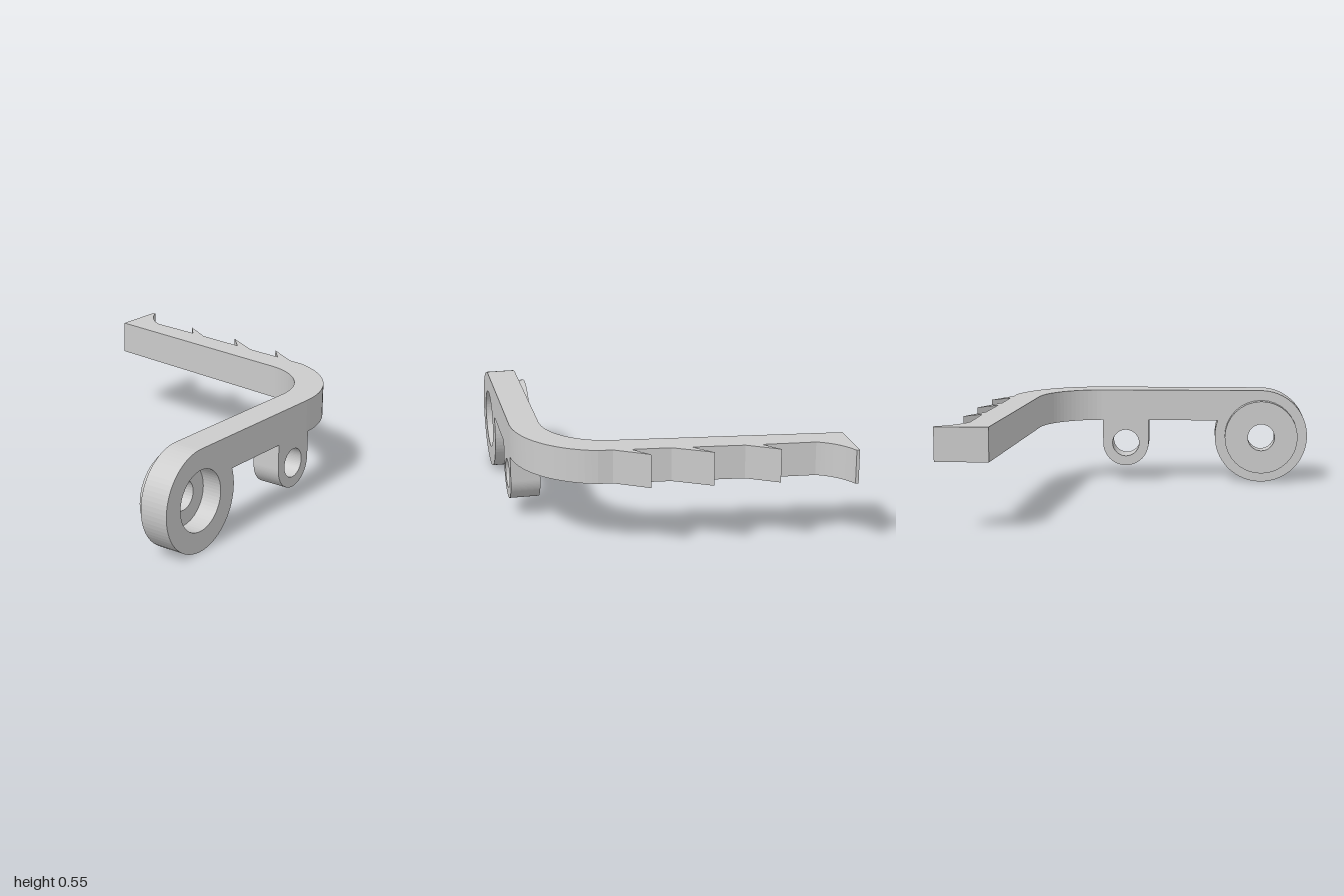
import * as THREE from 'three';

const material = new THREE.MeshStandardMaterial({ color: 0xcccccc, flatShading: true, side: THREE.DoubleSide });
const TOP = 0.557, UNDER = 0.375;      // height range of the arm
const FRONT = 0.845, BACK = 0.685;     // depth range of the straight part
const PIVOT = { x: -0.724, y: 0.28, r: 0.277 };
const LUG = { x: 0.09, y: 0.235, r: 0.137 };
const BEND = { x: 0.21, z: 0.315, inner: 0.37, outer: 0.53 };

function add(group, name, geometry) {
  const mesh = new THREE.Mesh(geometry, material);
  mesh.name = name;
  group.add(mesh);
  return mesh;
}

function hole(x, y, r) {
  return new THREE.Path().absarc(x, y, r, 0, Math.PI * 2, true);
}

// Straight front plate: pivot eye, arm and hanging lug in one outline
function frontPlate() {
  const s = new THREE.Shape();
  s.moveTo(BEND.x, TOP);
  s.lineTo(PIVOT.x, TOP);
  const end = Math.PI * 2 + Math.asin((UNDER - PIVOT.y) / PIVOT.r);
  s.absarc(PIVOT.x, PIVOT.y, PIVOT.r, Math.PI / 2, end, false);
  s.lineTo(LUG.x - LUG.r, UNDER);
  s.absarc(LUG.x, LUG.y, LUG.r, Math.PI, Math.PI * 2, false);
  s.lineTo(LUG.x + LUG.r, UNDER);
  s.lineTo(BEND.x, UNDER);
  s.closePath();
  s.holes.push(hole(PIVOT.x, PIVOT.y, 0.165), hole(LUG.x, LUG.y, 0.08));
  const g = new THREE.ExtrudeGeometry(s, { depth: FRONT - BACK, bevelEnabled: false, curveSegments: 28 });
  return g.translate(0, 0, BACK);
}

// Bend and barbed rear arm, drawn in plan with shape y = -z
function rearArm() {
  const s = new THREE.Shape();
  const tilt = 0.111;
  s.moveTo(BEND.x, -FRONT);
  s.absarc(BEND.x, -BEND.z, BEND.outer, -Math.PI / 2, -0.27, false);
  // three barbs: root, tip, notch
  const barbs = [
    [0.728, 0.38], [0.836, 0.203], [0.74, 0.285],
    [0.76, 0.08], [0.874, -0.12], [0.772, -0.025],
    [0.803, -0.3], [0.902, -0.465], [0.811, -0.387],
    [0.835, -0.67],
  ];
  for (const [x, z] of barbs) s.lineTo(x, -z);
  // flared end hook
  s.quadraticCurveTo(0.882, 0.78, 1, 0.833);
  s.lineTo(1, 0.85);
  s.lineTo(0.717, 0.85);
  s.absarc(BEND.x, -BEND.z, BEND.inner, -tilt, -Math.PI / 2, true);
  s.closePath();
  const g = new THREE.ExtrudeGeometry(s, { depth: TOP - UNDER, bevelEnabled: false, curveSegments: 10 });
  return g.rotateX(-Math.PI / 2).translate(0, UNDER, 0);
}

// Rear boss with through hole; its inner step is the counterbore floor
function pivotBoss() {
  const floor = 0.735, rear = 0.63;
  const profile = [
    [0.165, floor], [0.08, floor], [0.08, rear], [0.218, rear], [0.218, BACK],
  ].map(([r, z]) => new THREE.Vector2(r, z));
  return new THREE.LatheGeometry(profile, 32).rotateX(Math.PI / 2).translate(PIVOT.x, PIVOT.y, 0);
}

export function createModel() {
  const group = new THREE.Group();
  group.name = 'barbedLever';
  add(group, 'frontPlate', frontPlate());
  add(group, 'rearArm', rearArm());
  add(group, 'pivotBoss', pivotBoss());
  return group;
}
